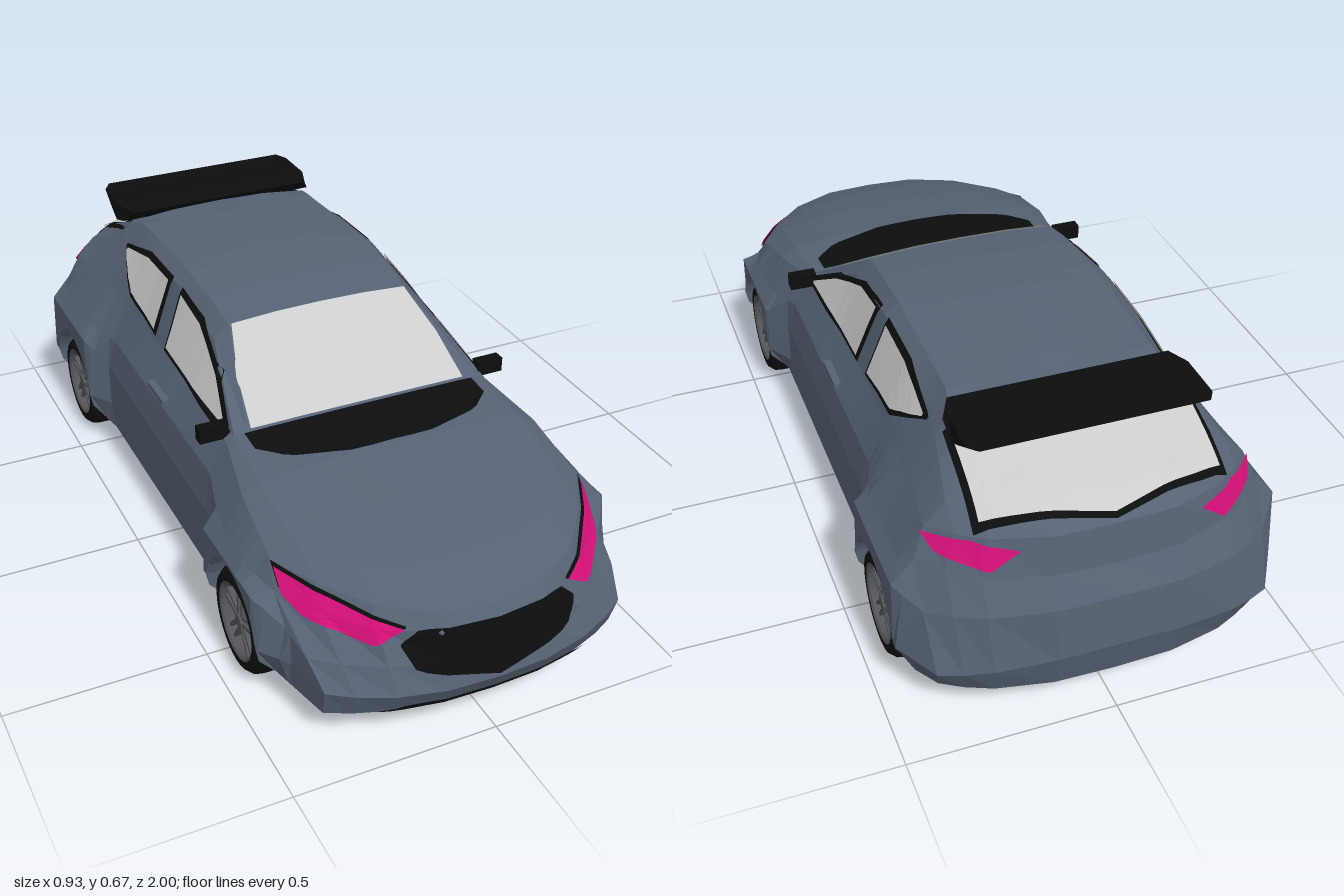
import * as THREE from 'three';

const V = (x, y, z) => new THREE.Vector3(x, y, z);
const mat = (color, flat = true, side = THREE.FrontSide) =>
  new THREE.MeshStandardMaterial({ color, flatShading: flat, side });
const paint = mat(0x566274);
const black = mat(0x0d0d0e, true, THREE.DoubleSide);
const glass = mat(0xcccccc, true, THREE.DoubleSide);
const lamp = mat(0xd8107a, true, THREE.DoubleSide);
const rubber = mat(0x101011, false);
const metal = mat(0x55565a);
const caliperPaint = mat(0x9a4a1c);

const R = 0.15, AXLE_Y = 0.133, AXLES = [0.565, -0.64], FLOOR = 0.085;

// Height of the lower body edge: flat, with round wheel openings.
function archY(z) {
  for (const a of AXLES) {
    const d = Math.abs(z - a);
    if (d <= R + 1e-6) return AXLE_Y + Math.sqrt(Math.max(0, R * R - d * d));
  }
  return FLOOR;
}

// Lengthwise body lines, each a list of [z, x, y] from tail to nose.
const LINES = {
  centre: [[-.78, 0, .575], [-.62, 0, .64], [-.5, 0, .66], [-.25, 0, .667], [-.07, 0, .655], [.06, 0, .632], [.3, 0, .46], [.48, 0, .458], [.66, 0, .425]],
  crown: [[-.78, .14, .57], [-.62, .13, .635], [-.25, .12, .66], [-.07, .12, .651], [.06, .12, .63], [.3, .15, .46], [.48, .14, .455], [.66, .13, .422]],
  roofEdge: [[-.78, .27, .55], [-.62, .265, .62], [-.55, .25, .64], [-.2, .25, .652], [-.07, .25, .643], [.06, .245, .622], [.3, .3, .459], [.48, .27, .449], [.66, .25, .413]],
  windowTop: [[-.78, .33, .52], [-.62, .3, .575], [-.55, .288, .59], [-.4, .285, .62], [-.2, .285, .625], [.06, .285, .585], [.3, .335, .457], [.48, .35, .438], [.66, .34, .395]],
  belt: [[-.78, .38, .47], [-.6, .365, .475], [-.3, .348, .465], [0, .345, .455], [.3, .355, .447], [.48, .39, .415], [.66, .4, .365]],
  shoulder: [[-.8, .41, .4], [-.76, .435, .375], [-.54, .435, .375], [-.42, .4, .37], [.3, .4, .37], [.42, .43, .34], [.6, .445, .325], [.7, .41, .31]],
  flare: [[-.86, .41, .3], [-.8, .463, .34], [-.51, .463, .34], [-.44, .415, .28], [.34, .415, .27], [.41, .463, .3], [.69, .463, .3], [.76, .41, .25], [.84, .395, .22]],
  lower: [[-.92, .4, .16], [-.82, .463, .17], [-.49, .463, .17], [-.44, .415, .16], [.34, .415, .16], [.4, .463, .17], [.72, .463, .17], [.78, .405, .16], [.9, .38, .16]],
  sill: [[-.88, .385, .09], [-.82, .42, .085], [-.48, .42, .085], [-.43, .41, .085], [.33, .41, .085], [.72, .41, .085], [.88, .375, .088]],
};
const UPPER = ['centre', 'crown', 'roofEdge', 'windowTop', 'belt'];
const LOWER = ['shoulder', 'flare', 'lower', 'sill'];

function at(name, z) {
  const k = LINES[name];
  z = Math.min(Math.max(z, k[0][0]), k[k.length - 1][0]);
  let i = 0;
  while (i < k.length - 2 && z > k[i + 1][0]) i++;
  const [a, b] = [k[i], k[i + 1]], t = (z - a[0]) / (b[0] - a[0]);
  const p = V(a[1] + (b[1] - a[1]) * t, a[2] + (b[2] - a[2]) * t, z);
  const arch = archY(z);
  if (name === 'lower') p.y = Math.max(p.y, arch + 0.01);
  if (name === 'sill' && arch > FLOOR) p.set(0.455, arch, z);
  return p;
}

// Surface through rows of points.
function grid(rows) {
  const n = rows[0].length, pos = [], idx = [];
  rows.forEach(r => r.forEach(p => pos.push(p.x, p.y, p.z)));
  for (let i = 0; i < rows.length - 1; i++) for (let j = 0; j < n - 1; j++) {
    const a = i * n + j, b = a + 1, d = a + n, c = d + 1;
    idx.push(a, d, c, a, c, b);
  }
  const g = new THREE.BufferGeometry();
  g.setAttribute('position', new THREE.Float32BufferAttribute(pos, 3));
  g.setIndex(idx);
  g.computeVertexNormals();
  return g;
}
const mirrored = half => [...half, ...half.slice().reverse().map(p => V(-p.x, p.y, p.z))];

// Sides, roof, floor and wheel wells in one loft.
function shellGeometry() {
  const zs = new Set();
  Object.values(LINES).forEach(l => l.forEach(k => zs.add(k[0])));
  for (const a of AXLES) {
    for (let i = 0; i <= 12; i++) zs.add(a + R * Math.cos(i * Math.PI / 12));
    zs.add(a + R + 0.001).add(a - R - 0.001);
  }
  return grid([...zs].sort((a, b) => a - b).map(z => {
    const half = [...UPPER, ...LOWER].map(n => at(n, z));
    const s = half[half.length - 1];
    const low = s.y > 0.1 ? FLOOR : s.y;
    half.push(V(.31, s.y, s.z), V(.31, low, s.z), V(0, low, s.z));
    return mirrored(half);
  }));
}

// Nose or tail: each side line sweeps round to a centre point [y, z].
function endGeometry(sign, power, centres) {
  const end = n => at(n, sign * 9);
  const top = UPPER.map(end), ts = top.map(p => p.x / top[4].x);
  const sweep = (e, [y, z]) => ts.map(t => {
    const w = Math.pow(t, power);
    return V(e.x * t, y + (e.y - y) * t * t, z + (e.z - z) * w);
  });
  const rows = ['belt', ...LOWER].map((n, i) => sweep(end(n), centres[i]));
  const between = top.map((p, i) => p.clone().lerp(rows[0][i], .55).add(V(0, .01 * (1 - ts[i] ** 2), 0)));
  const s = end('sill');
  const close = ts.map(t => V(s.x * t, s.y, s.z));
  return grid([top, between, ...rows, close].map(r => {
    const full = mirrored(r.slice().reverse());
    return sign > 0 ? full.reverse() : full;
  }));
}

function along(poly, t) {
  const f = t * (poly.length - 1), i = Math.min(Math.floor(f), poly.length - 2);
  return poly[i].map((v, k) => v + (poly[i + 1][k] - v) * (f - i));
}

// Panel between two edge lines, laid on the body along an axis.
function panel(targets, axis, s, edgeA, edgeB, lift) {
  const ray = new THREE.Raycaster(), N = 18, M = 8, rows = [];
  let last = V(0, 0, 0);
  for (let i = 0; i <= M; i++) {
    const row = [];
    for (let j = 0; j <= N; j++) {
      const a = along(edgeA, j / N), b = along(edgeB, j / N);
      const u = a[0] + (b[0] - a[0]) * i / M, v = a[1] + (b[1] - a[1]) * i / M;
      if (axis === 'x') ray.set(V(2 * s, v, u), V(-s, 0, 0));
      else if (axis === 'y') ray.set(V(u, 2, v), V(0, -1, 0));
      else ray.set(V(u, v, 2 * s), V(0, 0, -s));
      const hit = ray.intersectObjects(targets)[0];
      if (hit) last = hit.point.clone().addScaledVector(hit.face.normal, lift);
      row.push(last);
    }
    rows.push(row);
  }
  return grid(rows);
}

function makeWheel() {
  const g = new THREE.Group();
  const add = (name, geo, m) => { const o = new THREE.Mesh(geo, m); o.name = name; g.add(o); return o; };
  const lathe = pts => new THREE.LatheGeometry(pts.map(p => new THREE.Vector2(...p)), 32).rotateZ(-Math.PI / 2);
  add('tyre', lathe([[.09, -.062], [.118, -.062], [.13, -.048], [.133, -.03], [.133, .03], [.13, .048], [.118, .062], [.096, .062]]), rubber);
  const rim = add('rim', lathe([[.08, -.06], [.082, .035], [.09, .058], [.097, .063]]), metal.clone());
  rim.material.side = THREE.DoubleSide;
  add('brakeDisc', new THREE.CylinderGeometry(.068, .068, .012, 28).rotateZ(Math.PI / 2), metal).position.x = .012;
  add('wheelBack', new THREE.CylinderGeometry(.09, .09, .01, 24).rotateZ(Math.PI / 2), rubber).position.x = -.05;
  add('caliper', new THREE.BoxGeometry(.02, .055, .024), caliperPaint).position.set(.025, 0, -.052);
  add('hub', new THREE.CylinderGeometry(.016, .02, .02, 10).rotateZ(-Math.PI / 2), metal).position.x = .046;
  for (let i = 0; i < 5; i++) for (const k of [-1, 1]) {
    const spoke = add('spoke', new THREE.BoxGeometry(.014, .078, .008).translate(0, .05, k * .008), metal);
    spoke.position.x = .044;
    spoke.rotation.x = i * Math.PI * 2 / 5 + k * .07;
  }
  return g;
}

export function createModel() {
  const car = new THREE.Group();
  car.name = 'car';
  const add = (name, geo, m) => { const o = new THREE.Mesh(geo, m); o.name = name; car.add(o); return o; };

  const body = [
    add('bodyShell', shellGeometry(), paint),
    add('nose', endGeometry(1, 2.6, [[.325, .96], [.29, .98], [.22, .985], [.15, 1], [.09, .965]]), paint),
    add('tail', endGeometry(-1, 3, [[.5, -.94], [.4, -.955], [.335, -.99], [.2, -1], [.1, -.975]]), paint),
  ];
  const lay = (name, axis, s, a, b, m, lift = .004) => add(name, panel(body, axis, s, a, b, lift), m);

  // Windscreen, cowl and rear window
  lay('windscreen', 'y', 1, [[-.29, .295], [-.275, .18], [-.24, .062]], [[.29, .295], [.275, .18], [.24, .062]], glass);
  lay('cowl', 'y', 1, [[-.31, .305], [.31, .305]], [[-.31, .37], [-.25, .43], [-.1, .475], [.1, .475], [.25, .43], [.31, .37]], black);
  lay('rearWindowFrame', 'y', 1, [[-.285, -.635], [.285, -.635]], [[-.295, -.86], [0, -.932], [.295, -.86]], black, .003);
  lay('rearWindow', 'y', 1, [[-.27, -.65], [.27, -.65]], [[-.278, -.848], [0, -.92], [.278, -.848]], glass, .007);

  // Grille and lower intake
  lay('grille', 'z', 1, [[-.215, .262], [-.175, .3], [0, .3], [.175, .3], [.215, .262]],
    [[-.215, .258], [-.19, .205], [0, .16], [.19, .205], [.215, .258]], black);
  lay('lowerIntake', 'z', 1, [[-.21, .112], [.21, .112]], [[-.27, .095], [.27, .095]], black);

  for (const s of [1, -1]) {
    const flip = pts => pts.map(([x, y]) => [s * x, y]);
    // Side windows with dark frames
    lay('frontWindowFrame', 'x', s, [[.285, .455], [.14, .543], [-.02, .606], [-.165, .626]], [[.28, .445], [.12, .447], [0, .455], [-.15, .465]], black, .003);
    lay('frontWindow', 'x', s, [[.25, .462], [.135, .53], [-.02, .593], [-.15, .613]], [[.25, .457], [.12, .46], [0, .466], [-.138, .475]], glass, .007);
    lay('backWindowFrame', 'x', s, [[-.225, .628], [-.4, .624], [-.565, .582]], [[-.215, .472], [-.42, .495], [-.565, .575]], black, .003);
    lay('backWindow', 'x', s, [[-.237, .616], [-.39, .612], [-.545, .577]], [[-.23, .484], [-.415, .507], [-.545, .57]], glass, .007);
    // Lamps
    lay('headlampFrame', 'z', 1, flip([[.2, .303], [.3, .336], [.4, .364]]), flip([[.2, .3], [.265, .27], [.4, .32]]), black, .003);
    lay('headlamp', 'z', 1, flip([[.206, .298], [.3, .327], [.397, .355]]), flip([[.206, .296], [.265, .26], [.375, .285], [.397, .31]]), lamp, .007);
    lay('tailLamp', 'z', -1, flip([[.21, .462], [.3, .475], [.385, .46]]), flip([[.21, .459], [.27, .412], [.37, .43], [.385, .455]]), lamp, .005);
    // Door mirror and handle
    add('mirror', new THREE.BoxGeometry(.07, .038, .03), black).position.set(s * .38, .464, .268);
    add('mirrorArm', new THREE.BoxGeometry(.04, .014, .02), black).position.set(s * .345, .452, .268);
    add('doorHandle', new THREE.BoxGeometry(.022, .014, .11), paint).position.set(s * .392, .388, -.075);
    // Wheels
    for (const z of AXLES) {
      const wheel = makeWheel();
      wheel.name = z > 0 ? 'frontWheel' : 'rearWheel';
      wheel.position.set(s * .388, AXLE_Y, z);
      if (s < 0) wheel.rotation.y = Math.PI;
      wheel.children.filter(c => c.name === 'caliper').forEach(c => { c.position.z *= s; });
      car.add(wheel);
    }
  }

  // Roof spoiler, narrowing at its front and rear edges
  const wing = [[-.6, .654], [-.66, .66], [-.78, .66], [-.81, .663], [-.73, .625], [-.69, .603], [-.63, .622]];
  const shape = new THREE.Shape(wing.map(p => new THREE.Vector2(...p)));
  const spoiler = new THREE.ExtrudeGeometry(shape, { depth: .57, bevelEnabled: false }).rotateY(-Math.PI / 2).translate(.285, 0, 0);
  const p = spoiler.attributes.position;
  for (let i = 0; i < p.count; i++) {
    const z = p.getZ(i);
    if (z < -.8 || z > -.62) p.setX(i, p.getX(i) * .93);
  }
  spoiler.computeVertexNormals();
  add('spoiler', spoiler, black);
  return car;
}
